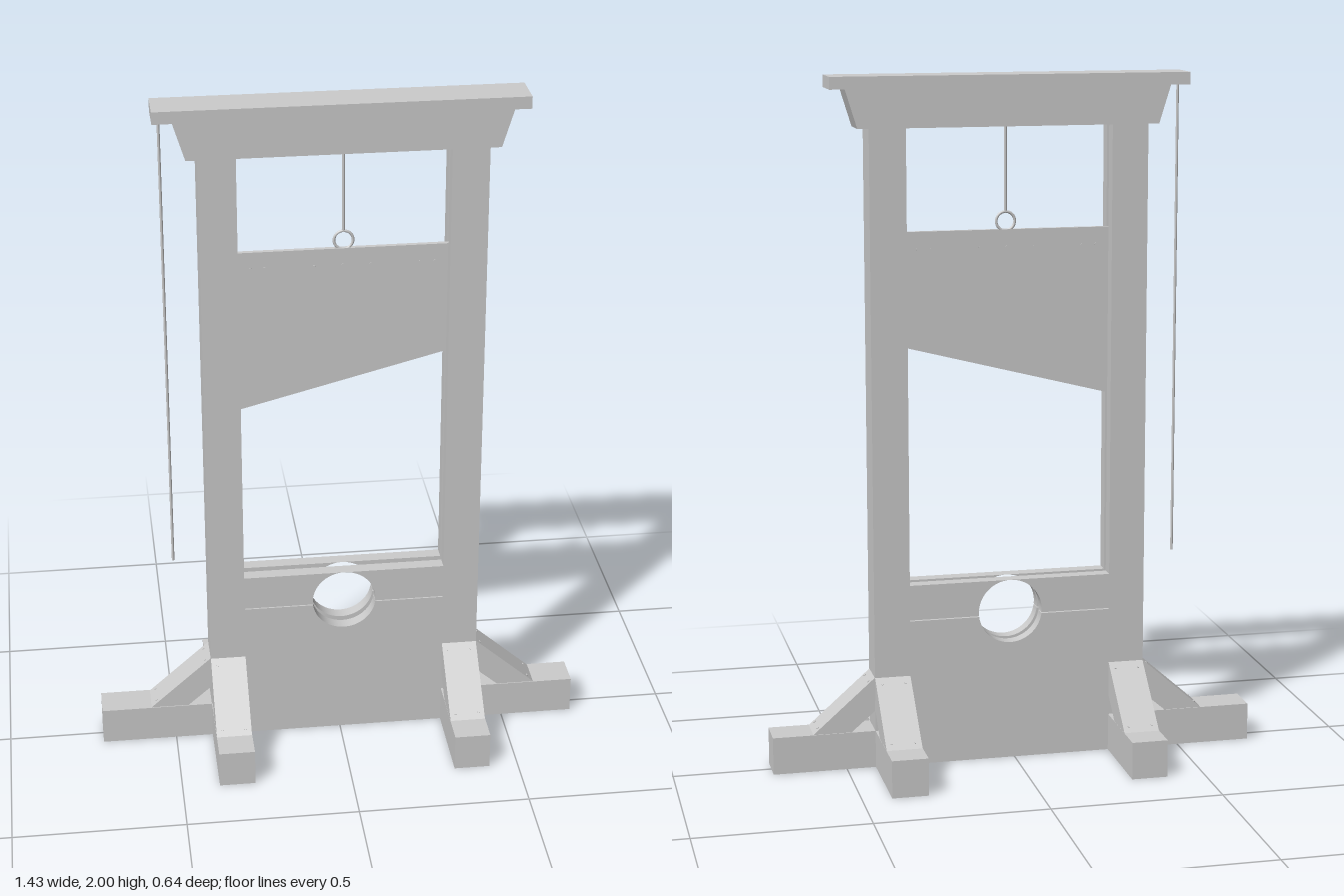
import * as THREE from 'three';

const grey = new THREE.MeshStandardMaterial({ color: 0xcccccc, flatShading: true });
const smooth = new THREE.MeshStandardMaterial({ color: 0xcccccc });

const POST_OUT = 0.4025, POST_IN = 0.2975; // post faces, measured from the frame's middle
const HALF = 0.05;       // half thickness of the timbers
const GROOVE = 0.011;    // half width of the blade groove
const BEAM_H = 0.11, POST_TOP = 1.855;

function add(parent, name, geometry, x = 0, y = 0, z = 0, material = grey) {
  const mesh = new THREE.Mesh(geometry, material);
  mesh.name = name;
  mesh.position.set(x, y, z);
  parent.add(mesh);
  return mesh;
}

function box(parent, name, x0, x1, y0, y1, z0, z1) {
  return add(parent, name, new THREE.BoxGeometry(x1 - x0, y1 - y0, z1 - z0),
    (x0 + x1) / 2, (y0 + y1) / 2, (z0 + z1) / 2);
}

// Outline extruded in z, centred on z = 0
function slab(shape, depth) {
  if (Array.isArray(shape)) shape = new THREE.Shape(shape.map(p => new THREE.Vector2(...p)));
  return new THREE.ExtrudeGeometry(shape, { depth, bevelEnabled: false, curveSegments: 32 })
    .translate(0, 0, -depth / 2);
}

// Diagonal brace leaning out towards +x, with nails on its sloping face
function makeBrace(width) {
  const brace = new THREE.Group();
  brace.name = 'brace';
  add(brace, 'bracePlank', slab([[0, 0.17], [0.07, BEAM_H], [0.182, BEAM_H], [0, 0.27]], width));
  for (const t of [0.09, 0.91]) for (const s of [-1, 1]) {
    const nail = add(brace, 'nail', new THREE.CylinderGeometry(0.004, 0.004, 0.004, 8),
      0.182 * t, 0.27 - 0.16 * t, s * width * 0.33);
    nail.rotation.z = -Math.atan2(0.16, 0.182);
  }
  return brace;
}

// Post with a groove in its inner face, plus its foot arms and braces
function makeSide() {
  const side = new THREE.Group();
  const inner = -POST_IN, outer = -POST_OUT, depth = inner - 0.03;
  const post = slab([[outer, -HALF], [inner, -HALF], [inner, -GROOVE], [depth, -GROOVE],
    [depth, GROOVE], [inner, GROOVE], [inner, HALF], [outer, HALF]], POST_TOP - BEAM_H);
  post.rotateX(-Math.PI / 2);
  add(side, 'post', post, 0, (POST_TOP + BEAM_H) / 2, 0);

  const middle = (inner + outer) / 2;
  for (const s of [-1, 1]) {
    box(side, 'crossFoot', outer, inner, 0, BEAM_H, s > 0 ? HALF : -0.32, s > 0 ? 0.32 : -HALF);
    const brace = makeBrace(0.104);
    brace.rotation.y = -s * Math.PI / 2;
    brace.position.set(middle, 0, s * HALF);
    side.add(brace);
  }
  const outerBrace = makeBrace(0.094);
  outerBrace.rotation.y = Math.PI;
  outerBrace.position.x = outer;
  side.add(outerBrace);
  return side;
}

// Neck boards: one pair below and one pair above the joint, each cut by the round hole
function makeNeckBoards(parent) {
  const cy = 0.446, r = 0.094, joint = 0.435, gap = 0.0015;
  const thickness = HALF - GROOVE;
  for (const upper of [false, true]) {
    const y = joint + (upper ? gap : -gap);
    const far = upper ? 0.54 : BEAM_H;
    const a = Math.asin((y - cy) / r);
    const shape = new THREE.Shape();
    shape.moveTo(-POST_IN, far);
    shape.lineTo(-POST_IN, y);
    shape.lineTo(-r * Math.cos(a), y);
    shape.absarc(0, cy, r, Math.PI - a, upper ? a : 2 * Math.PI + a, upper);
    shape.lineTo(POST_IN, y);
    shape.lineTo(POST_IN, far);
    shape.closePath();
    for (const s of [-1, 1]) {
      add(parent, upper ? 'upperNeckBoard' : 'lowerNeckBoard', slab(shape, thickness),
        0, 0, s * (HALF - thickness / 2));
    }
  }
}

export function createModel() {
  const model = new THREE.Group();
  model.name = 'guillotine';
  const frame = new THREE.Group();
  frame.name = 'frame';
  frame.position.x = 0.0125;
  model.add(frame);

  // Base beam and the two uprights
  box(model, 'baseBeam', -0.72, 0.715, 0, BEAM_H, -HALF, HALF);
  for (const turn of [0, Math.PI]) {
    const side = makeSide();
    side.name = turn ? 'leftUpright' : 'rightUpright';
    side.rotation.y = turn;
    frame.add(side);
  }
  makeNeckBoards(frame);

  // Lintel and top board
  add(frame, 'lintel', slab([[-0.434, POST_TOP], [0.434, POST_TOP], [0.468, 1.965], [-0.468, 1.965]], 2 * HALF));
  box(model, 'topBoard', -0.51, 0.525, 1.965, 2, -0.058, 0.058);

  // Slanted blade running in the grooves, with rivets along its top
  add(frame, 'blade', slab([[-0.32, 1.07], [0.32, 1.235], [0.32, 1.56], [-0.32, 1.56]], 0.014));
  for (const x of [-0.26, -0.22, -0.08, 0, 0.08, 0.22, 0.26]) {
    const rivet = add(frame, 'rivet', new THREE.CylinderGeometry(0.004, 0.004, 0.018, 8), x, 1.51, 0);
    rivet.rotation.x = Math.PI / 2;
  }

  // Ring and ropes
  add(frame, 'ring', new THREE.TorusGeometry(0.027, 0.004, 8, 32), 0.003, 1.583, 0, smooth);
  const rope = (name, x, y0, y1) =>
    add(frame, name, new THREE.CylinderGeometry(0.004, 0.004, y1 - y0, 8), x, (y0 + y1) / 2, 0, smooth);
  rope('bladeRope', 0.003, 1.608, POST_TOP);
  rope('pullRope', -0.502, 0.59, 1.965);

  return model;
}
